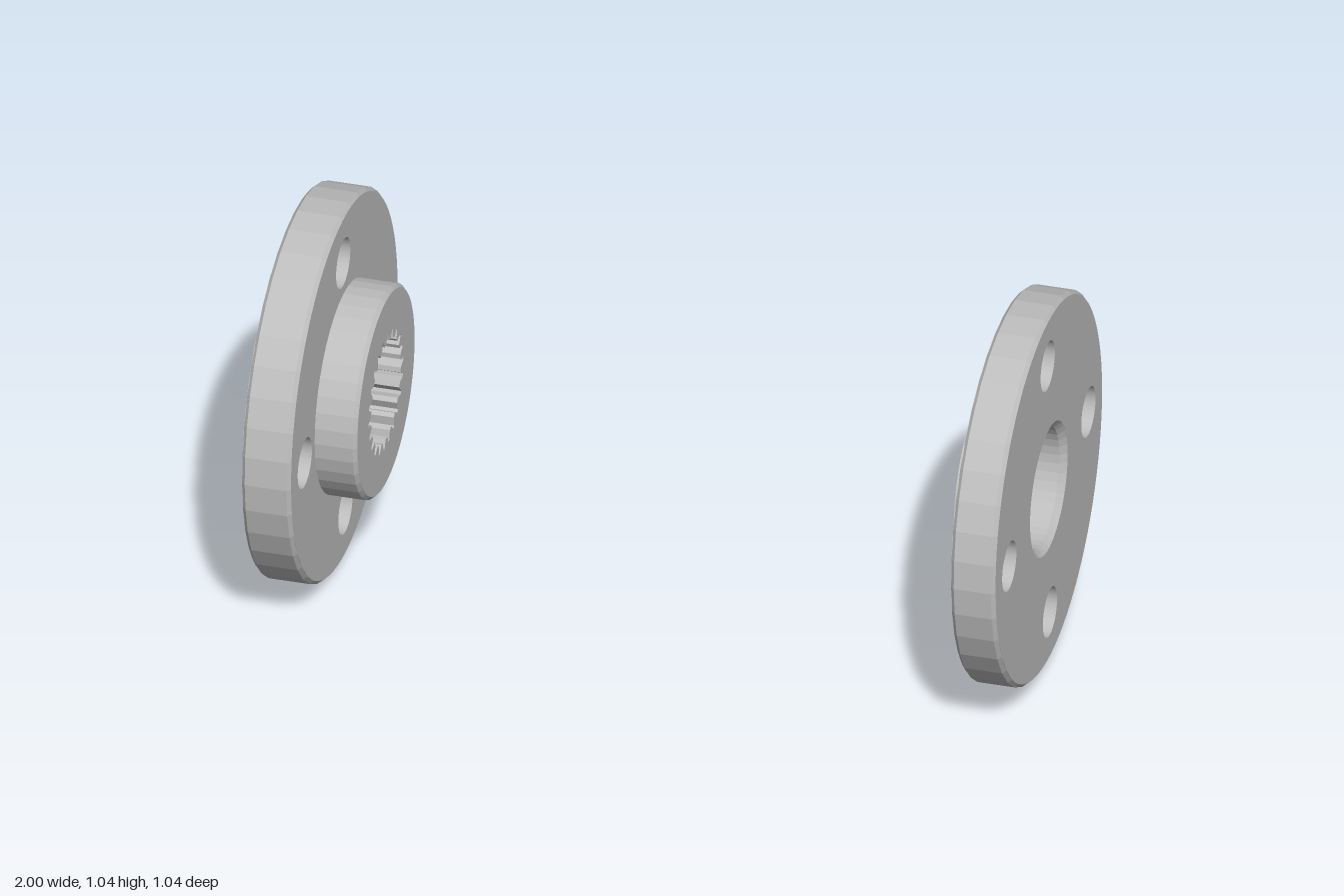
import * as THREE from 'three';

const SEG = 40;
const steel = new THREE.MeshStandardMaterial({ color: 0xbebebe, flatShading: true });
steel.name = 'steel';

const circle = (r, x = 0, y = 0) => new THREE.Path().absarc(x, y, r, 0, Math.PI * 2, true);

// internal spline outline: tapered teeth pointing inwards
function splinePath(root, tip, count) {
  const pts = [];
  const pitch = (Math.PI * 2) / count;
  for (let i = 0; i < count; i++) {
    const mid = Math.PI / 2 + i * pitch;
    for (const [f, r] of [[-0.4, root], [-0.17, tip], [0.17, tip], [0.4, root]]) {
      pts.push(new THREE.Vector2(r * Math.cos(mid + f * pitch), r * Math.sin(mid + f * pitch)));
    }
  }
  return new THREE.Path(pts);
}

const boltHoles = () =>
  [0, 1, 2, 3].map((i) => circle(0.067, 0.373 * Math.cos((i * Math.PI) / 2), 0.373 * Math.sin((i * Math.PI) / 2)));

// disc with holes, its axis along x from x0 to x1
function disc(name, r, holes, x0, x1) {
  const shape = new THREE.Shape().absarc(0, 0, r, 0, Math.PI * 2, false);
  shape.holes.push(...holes);
  const geo = new THREE.ExtrudeGeometry(shape, { depth: x1 - x0, bevelEnabled: false, curveSegments: SEG });
  geo.translate(0, 0, x0).rotateY(Math.PI / 2);
  const mesh = new THREE.Mesh(geo, steel);
  mesh.name = name;
  return mesh;
}

// turned surface about x, profile given as [radius, x]
function turned(name, profile) {
  const geo = new THREE.LatheGeometry(profile.map(([r, x]) => new THREE.Vector2(r, x)), SEG);
  geo.rotateZ(-Math.PI / 2);
  const mesh = new THREE.Mesh(geo, steel);
  mesh.name = name;
  return mesh;
}

// chamfered outer band
const rim = (name, r, c, x0, x1) => turned(name, [[r - c, x0], [r, x0 + c], [r, x1 - c], [r - c, x1]]);

function flange(name, x, y, z, parts) {
  const g = new THREE.Group();
  g.name = name;
  g.add(...parts);
  g.position.set(x, y, z);
  g.rotation.set(0, -0.008, 0.008);
  return g;
}

export function createModel() {
  const model = new THREE.Group();
  model.name = 'flangePair';

  // splined flange: blind toothed bore with a smaller through hole
  const spline = () => splinePath(0.164, 0.14, 22);
  model.add(flange('splinedFlange', -0.996, 0.515, -0.011, [
    disc('plateBack', 0.502, [circle(0.085), ...boltHoles()], 0, 0.09),
    disc('plateFront', 0.502, [spline(), ...boltHoles()], 0.09, 0.13),
    disc('splinedHub', 0.27, [spline()], 0.13, 0.24),
    rim('plateRim', 0.512, 0.01, 0, 0.13),
    turned('hubRim', [[0.28, 0.13], [0.28, 0.23], [0.27, 0.24]]),
  ]));

  // bored flange: short hub facing inwards, chamfered plain bore
  model.add(flange('boredFlange', 0.996, 0.531, 0.006, [
    disc('plate', 0.502, [circle(0.177), ...boltHoles()], -0.118, 0),
    disc('hub', 0.237, [circle(0.16)], -0.185, -0.118),
    rim('plateRim', 0.512, 0.01, -0.118, 0),
    turned('boreWall', [[0.177, 0], [0.16, -0.017], [0.16, -0.185]]),
  ]));

  return model;
}
